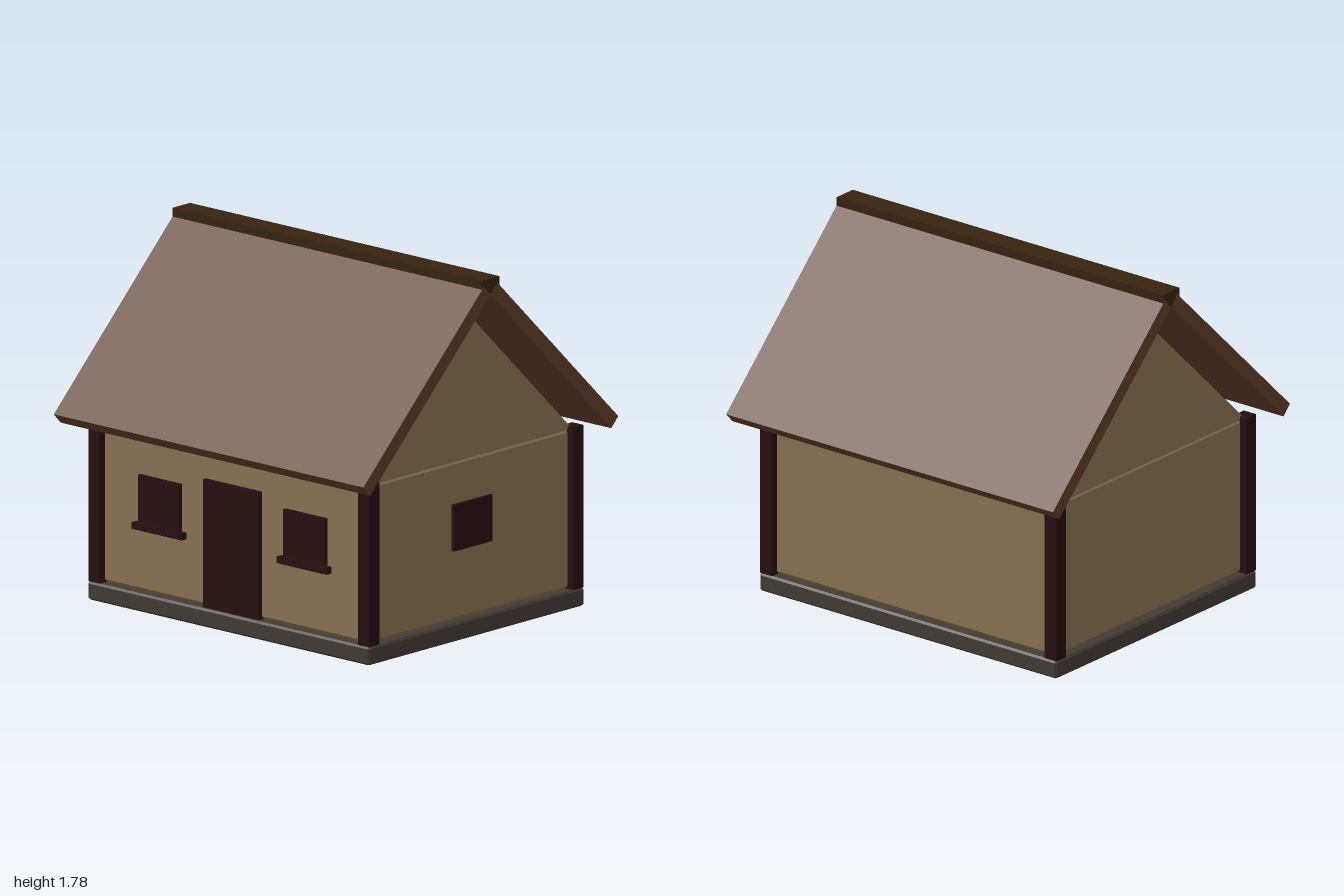
import * as THREE from 'three';

const mat = (name, color) => {
  const m = new THREE.MeshStandardMaterial({ color });
  m.name = name;
  return m;
};

export function createModel() {
  const house = new THREE.Group();
  house.name = 'cottage';

  const plaster = mat('plaster', 0x8a7252);
  const roofing = mat('roof brown', 0x5f3b28);
  const ridgeWood = mat('ridge brown', 0x37230f);
  const darkWood = mat('dark wood', 0x260e0f);
  const stone = mat('stone', 0x423b34);

  const add = (name, geometry, material, x = 0, y = 0, z = 0) => {
    const mesh = new THREE.Mesh(geometry, material);
    mesh.name = name;
    mesh.position.set(x, y, z);
    house.add(mesh);
    return mesh;
  };

  // Box given by its lower and upper limits
  const span = (name, material, [x0, x1], [y0, y1], [z0, z1]) =>
    add(name, new THREE.BoxGeometry(x1 - x0, y1 - y0, z1 - z0), material,
      (x0 + x1) / 2, (y0 + y1) / 2, (z0 + z1) / 2);

  // Block standing on y = 0 with chamfered top, bottom and corners
  const chamferedBlock = (w, h, d, c) => {
    const x = w / 2 - c, z = d / 2 - c, k = c * 0.5;
    const outline = new THREE.Shape([
      [x - k, -z], [x, -z + k], [x, z - k], [x - k, z],
      [-x + k, z], [-x, z - k], [-x, -z + k], [-x + k, -z],
    ].map(([a, b]) => new THREE.Vector2(a, b)));
    return new THREE.ExtrudeGeometry(outline, {
      depth: h - 2 * c, bevelEnabled: true, bevelSegments: 1, bevelSize: c, bevelThickness: c,
    }).translate(0, 0, c).rotateX(-Math.PI / 2);
  };

  add('foundation', chamferedBlock(1.82, 0.09, 1.52, 0.01), stone);
  add('walls', chamferedBlock(1.74, 0.785, 1.436, 0.016), plaster, 0, 0.09, 0);

  // Thin triangular gable at each end
  const triangle = new THREE.Shape([
    new THREE.Vector2(-0.715, 0.872), new THREE.Vector2(0.715, 0.872), new THREE.Vector2(0, 1.565),
  ]);
  const gable = new THREE.ExtrudeGeometry(triangle, { depth: 0.02, bevelEnabled: false })
    .translate(0, 0, -0.01).rotateY(Math.PI / 2);
  for (const s of [1, -1]) add(s > 0 ? 'leftGable' : 'rightGable', gable, plaster, s * 0.86);

  // Corner posts
  for (const sx of [1, -1]) for (const sz of [1, -1])
    add('cornerPost', new THREE.BoxGeometry(0.073, 0.8, 0.073), darkWood, sx * 0.87, 0.49, sz * 0.718);

  // Two sloping roof slabs whose lower inner edges meet under the ridge
  const thickness = 0.07, length = 1.181, pitch = Math.atan2(0.822, 0.848);
  const slab = new THREE.BoxGeometry(2, thickness, length).translate(0, thickness / 2, length / 2);
  for (const s of [1, -1]) {
    const pivot = add(s > 0 ? 'frontRoof' : 'backRoof', slab, roofing, 0, 1.694, 0);
    pivot.rotation.set(pitch, s > 0 ? 0 : Math.PI, 0, 'YXZ');
  }
  span('ridgeBeam', ridgeWood, [-0.999, 0.999], [1.695, 1.776], [-0.061, 0.061]);

  // Door and front windows with sills
  span('door', darkWood, [-0.18, 0.18], [0.09, 0.72], [0.7, 0.74]);
  for (const s of [1, -1]) {
    const x = s * 0.469;
    span('frontWindow', darkWood, [x - 0.134, x + 0.134], [0.432, 0.665], [0.7, 0.738]);
    span('windowSill', darkWood, [x - 0.162, x + 0.162], [0.397, 0.43], [0.7, 0.752]);
  }

  // Single window on the left end wall
  span('sideWindow', darkWood, [0.85, 0.888], [0.437, 0.665], [-0.135, 0.135]);

  return house;
}
